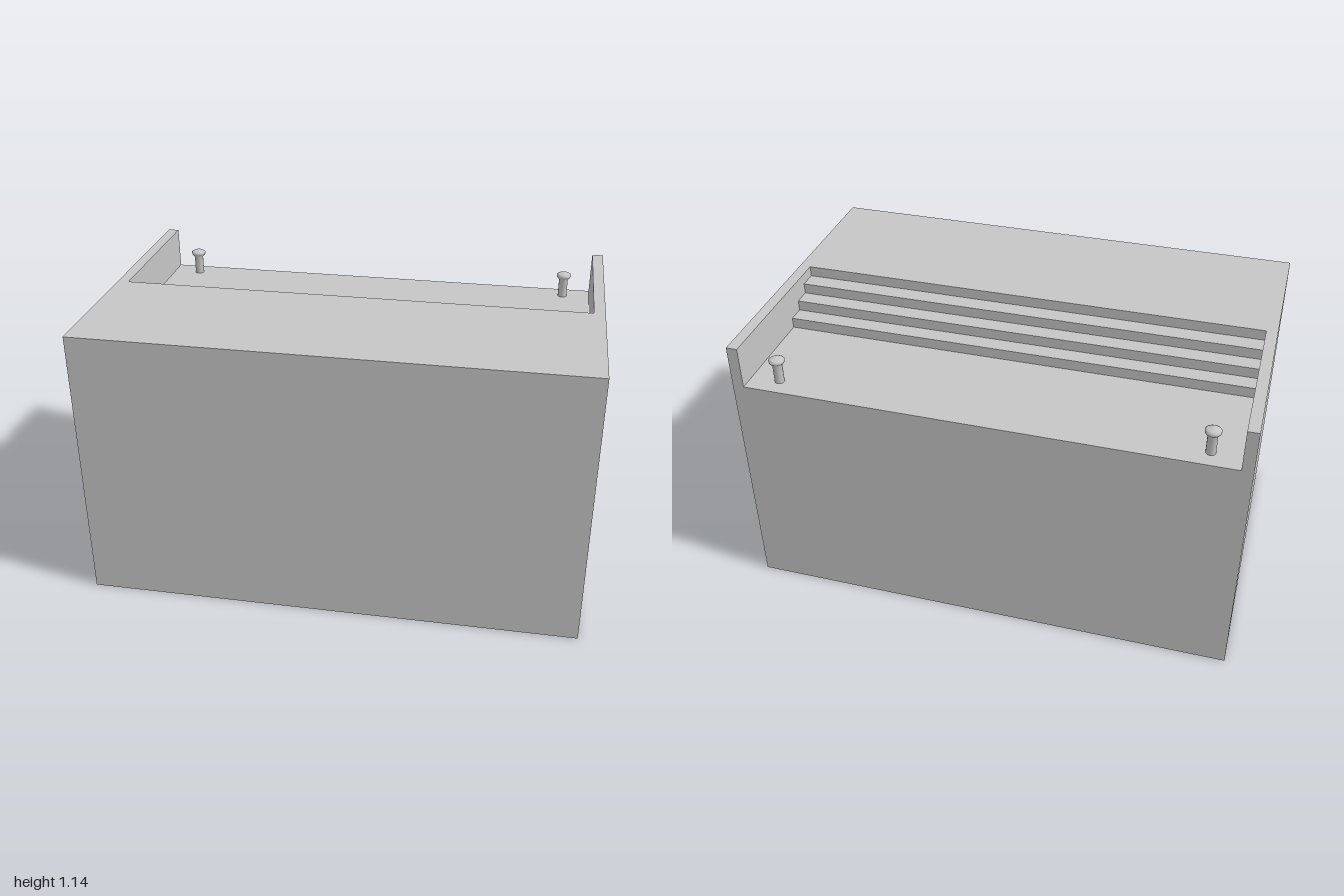
import * as THREE from 'three';

const W = 1, D = 0.62, H = 1.145;      // half width, half depth, height
const IN = 0.955;                      // half width of the recess
const FLOOR = 0.973;                   // recess floor height
const STEPS = [0.045, -0.028, -0.098, -0.168]; // z of each riser, top to bottom
const RISE = (H - FLOOR) / STEPS.length;

// Joins four-cornered faces (counter-clockwise from outside) into one geometry
function quadGeometry(quads) {
  const pos = [];
  for (const [a, b, c, d] of quads) pos.push(...a, ...b, ...c, ...a, ...c, ...d);
  const g = new THREE.BufferGeometry();
  g.setAttribute('position', new THREE.Float32BufferAttribute(pos, 3));
  g.computeVertexNormals();
  return g;
}

// Rectangles facing along one axis; flip turns them the other way
const orient = (q, flip) => (flip ? q.reverse() : q);
const faceX = (x, y0, y1, z0, z1, flip) =>
  orient([[x, y0, z1], [x, y0, z0], [x, y1, z0], [x, y1, z1]], flip);
const faceY = (y, x0, x1, z0, z1, flip) =>
  orient([[x0, y, z1], [x1, y, z1], [x1, y, z0], [x0, y, z0]], flip);
const faceZ = (z, x0, x1, y0, y1, flip) =>
  orient([[x0, y0, z], [x1, y0, z], [x1, y1, z], [x0, y1, z]], flip);

export function createModel() {
  const group = new THREE.Group();
  const grey = new THREE.MeshStandardMaterial({ color: 0xc6c6c6 });
  grey.name = 'light grey';
  const add = (name, geometry) => {
    const m = new THREE.Mesh(geometry, grey);
    m.name = name;
    group.add(m);
    return m;
  };

  // Block: outer shell with the recess left open at the top and back
  add('block', quadGeometry([
    faceZ(D, -W, W, 0, H),
    faceX(W, 0, H, -D, D),
    faceX(-W, 0, H, -D, D, true),
    faceY(0, -W, W, -D, D, true),
    faceY(H, -W, W, STEPS[0], D),
    faceY(H, IN, W, -D, STEPS[0]),
    faceY(H, -W, -IN, -D, STEPS[0]),
    faceZ(-D, -W, W, 0, FLOOR, true),
    faceZ(-D, IN, W, FLOOR, H, true),
    faceZ(-D, -W, -IN, FLOOR, H, true),
  ]));

  // Steps down to the recess floor, and the side walls beside them
  const steps = [], walls = [];
  STEPS.forEach((z, i) => {
    const top = H - i * RISE, low = top - RISE;
    const next = i < STEPS.length - 1 ? STEPS[i + 1] : -D;
    steps.push(faceZ(z, -IN, IN, low, top, true), faceY(low, -IN, IN, next, z));
    walls.push(faceX(IN, low, top, -D, z, true), faceX(-IN, low, top, -D, z));
  });
  add('steps', quadGeometry(steps));
  add('recessWalls', quadGeometry(walls));

  // Pegs with a flared, slightly domed head
  const profile = [
    [0.019, 0], [0.019, 0.078], [0.03, 0.09], [0.031, 0.1], [0.022, 0.106], [0, 0.109],
  ].map(([r, y]) => new THREE.Vector2(r, y));
  const pegGeometry = new THREE.LatheGeometry(profile, 24);
  for (const [name, s] of [['leftPeg', 1], ['rightPeg', -1]]) {
    add(name, pegGeometry).position.set(s * 0.838, FLOOR, -0.545);
  }
  return group;
}
